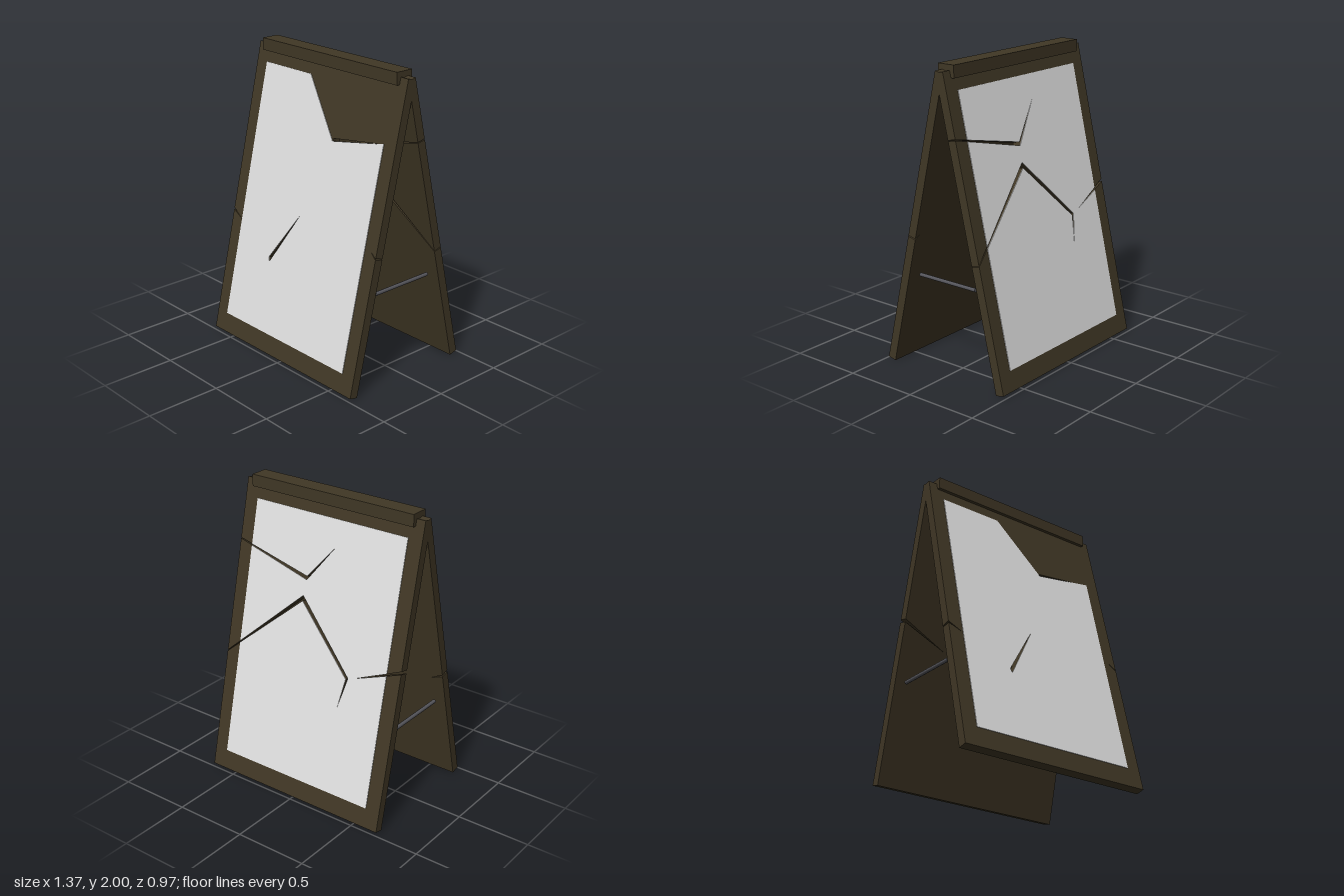
import * as THREE from 'three';

const HALF = 0.685, LENGTH = 2.004, THICK = 0.06, TILT = 0.2288;
const POSTER = { half: 0.585, low: 0.13, high: 1.88 };

// A crack is a list of [x, v, offsetX, offsetV], from the panel edge to its tip.
function crackLoop(crack, half, goingUp) {
  const pts = crack.map((p) => [...p]);
  const [a, b] = crack;
  const t = (Math.abs(a[0]) - half) / Math.abs(a[0] - b[0]);
  pts[0] = a.map((n, i) => n + (b[i] - n) * t);
  const s = goingUp ? -1 : 1;
  const side = (k) => pts.map(([x, v, ox, ov]) => [x + k * ox, v + k * ov]);
  return [...side(s), ...side(-s).reverse().slice(1)];
}

// Rectangle outline, walked anticlockwise, with cracks cut in from both sides
function crackedOutline(half, low, high, right, left) {
  return [
    [-half, low], [half, low],
    ...right.flatMap((c) => crackLoop(c, half, true)),
    [half, high], [-half, high],
    ...left.flatMap((c) => crackLoop(c, half, false)),
  ];
}

function plate(name, outline, holes, z, depth, material) {
  const toPoints = (list) => list.map(([x, y]) => new THREE.Vector2(x, y));
  const shape = new THREE.Shape(toPoints(outline));
  shape.holes = holes.map((h) => new THREE.Path(toPoints(h)));
  const geometry = new THREE.ExtrudeGeometry(shape, { depth, bevelEnabled: false });
  geometry.translate(0, 0, z);
  const mesh = new THREE.Mesh(geometry, material);
  mesh.name = name;
  return mesh;
}

// Leaning panel, built standing on its bottom edge and facing +z
function leaningPanel(name, board, poster) {
  const panel = new THREE.Group();
  panel.name = name;
  panel.add(board, poster);
  panel.rotation.x = -TILT;
  panel.position.set(0, 0.007, 0.455);
  return panel;
}

export function createModel() {
  const wood = new THREE.MeshStandardMaterial({ color: 0x403725 });
  wood.name = 'dark wood';
  const paper = new THREE.MeshStandardMaterial({ color: 0xe0e0e0 });
  paper.name = 'pale paper';
  const metal = new THREE.MeshStandardMaterial({ color: 0x56565c });
  metal.name = 'grey metal';

  const model = new THREE.Group();
  model.name = 'foldingSign';

  // Front panel: notched edges, a slit, and a poster with a torn corner
  const slit = [[-0.245, 0.605], [-0.02, 0.99], [-0.255, 0.635]];
  const tearGap = [[0.15, 1.51], [0.585, 1.589], [0.15, 1.528]];
  const frontRight = [[[HALF, 0.9, 0, 0.004], [0.63, 0.94, 0, 0]]];
  const frontLeft = [[[-HALF, 0.85, 0, 0.006], [-0.585, 0.8, 0, 0]]];
  const { half, low, high } = POSTER;
  const tornOutline = [
    [-half, low], [half, low], [half, 1.591], [0.15, 1.51], [-0.145, high], [-half, high],
  ];
  model.add(leaningPanel('frontPanel',
    plate('frontBoard', crackedOutline(HALF, 0, LENGTH, frontRight, frontLeft),
      [slit, tearGap], -THICK / 2, THICK, wood),
    plate('frontPoster', tornOutline, [slit], THICK / 2, 0.004, paper)));

  // Back panel: three long cracks run through board and poster
  const backLeft = [
    [[-HALF, 1.595, 0, 0.003], [-0.11, 1.463, 0, 0.012], [0.09, 1.72, 0, 0]],
    [[-HALF, 0.82, 0, 0.003], [-0.12, 1.328, 0, 0.018], [0.3, 0.91, 0.008, 0.005], [0.26, 0.71, 0, 0]],
  ];
  const backRight = [[[HALF, 1.06, 0, 0.01], [0.36, 0.93, 0, 0]]];
  const back = new THREE.Group();
  back.name = 'backSide';
  back.add(leaningPanel('backPanel',
    plate('backBoard', crackedOutline(HALF, 0, LENGTH, backRight, backLeft),
      [], -THICK / 2, THICK, wood),
    plate('backPoster', crackedOutline(half, low, high, backRight, backLeft),
      [], THICK / 2, 0.004, paper)));
  back.rotation.y = Math.PI;
  model.add(back);

  // Cap over the hinge
  const cap = new THREE.Mesh(new THREE.BoxGeometry(1.245, 0.08, 0.125), wood);
  cap.name = 'topCap';
  cap.position.y = 1.96;
  model.add(cap);

  // Spreader rods
  for (const side of [-1, 1]) {
    const rod = new THREE.Mesh(new THREE.CylinderGeometry(0.0125, 0.0125, 0.455, 8), metal);
    rod.name = side > 0 ? 'leftSpreader' : 'rightSpreader';
    rod.rotation.x = Math.PI / 2;
    rod.position.set(side * 0.635, 0.63, 0);
    model.add(rod);
  }
  return model;
}
